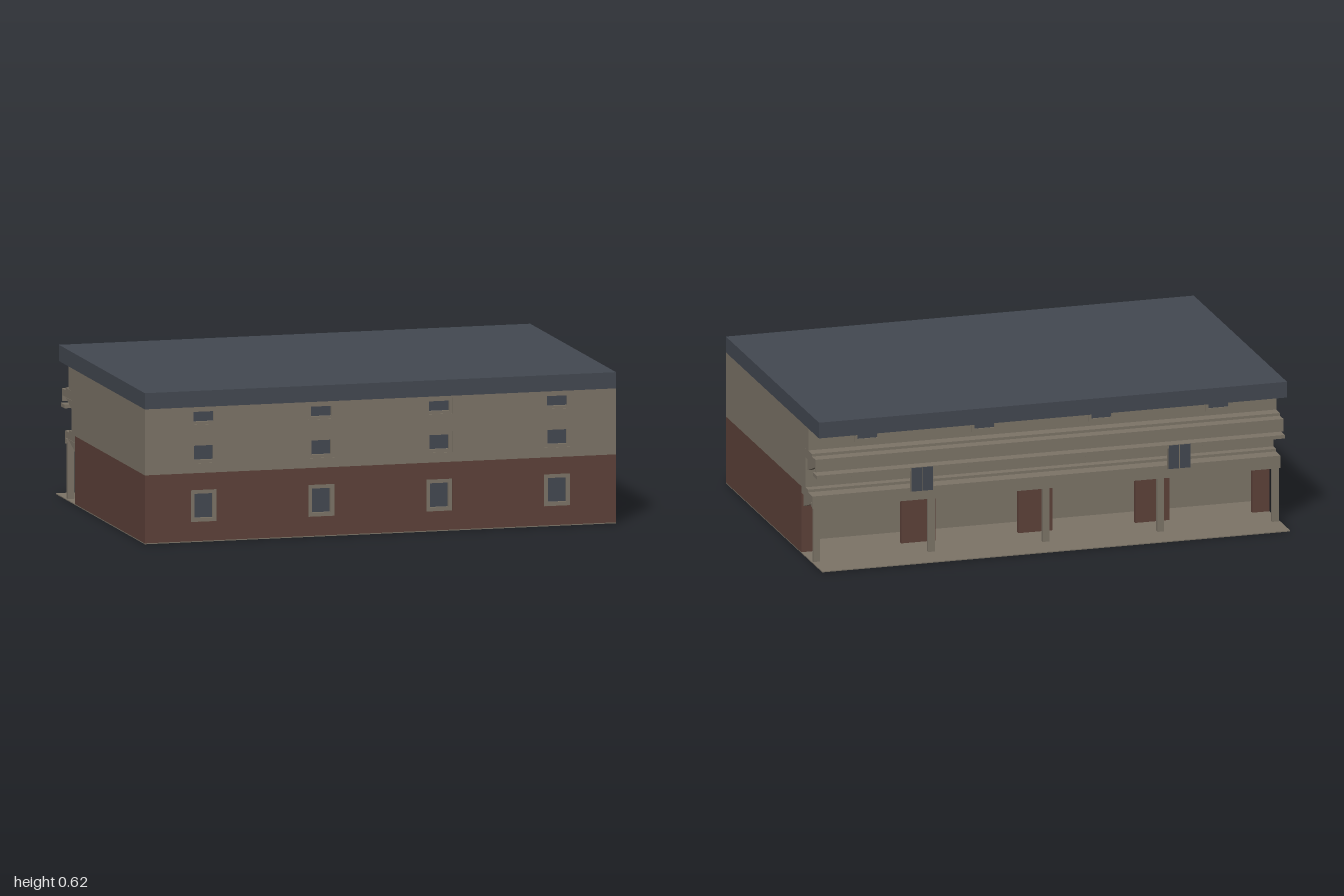
import * as THREE from 'three';

const mat = (name, color) => {
  const m = new THREE.MeshStandardMaterial({ color });
  m.name = name;
  return m;
};

export function createModel() {
  const root = new THREE.Group();
  root.name = 'building';
  const tan = mat('tan plaster', 0x7c7467);
  const red = mat('red brick', 0x5d4139);
  const slate = mat('slate blue', 0x434851);

  // Box given by its limits on each axis
  const box = (name, m, x0, x1, y0, y1, z0, z1, parent = root) => {
    const mesh = new THREE.Mesh(new THREE.BoxGeometry(x1 - x0, y1 - y0, z1 - z0), m);
    mesh.position.set((x0 + x1) / 2, (y0 + y1) / 2, (z0 + z1) / 2);
    mesh.name = name;
    parent.add(mesh);
    return mesh;
  };
  const rect = (Type, x0, x1, y0, y1) => new Type([
    new THREE.Vector2(x0, y0), new THREE.Vector2(x1, y0),
    new THREE.Vector2(x1, y1), new THREE.Vector2(x0, y1)]);
  // Flat panel with rectangular openings, back face at z
  const pierced = (name, m, outer, holes, depth, z) => {
    const shape = rect(THREE.Shape, ...outer);
    shape.holes = holes.map(h => rect(THREE.Path, ...h));
    const mesh = new THREE.Mesh(new THREE.ExtrudeGeometry(shape, { depth, bevelEnabled: false }), m);
    mesh.position.z = z;
    mesh.name = name;
    root.add(mesh);
  };

  const columns = [-0.75, -0.25, 0.25, 0.75];
  const bays = [-1, -0.5, 0, 0.5, 1];

  // Base slab and roof
  box('groundSlab', tan, -1, 1, 0, 0.004, -0.67, 0.67);
  box('roof', slate, -1, 1, 0.558, 0.625, -0.625, 0.67);

  // Storeys, the lowest one set back behind a porch
  box('lowerStorey', red, -1, 1, 0.004, 0.285, -0.215, 0.65);
  box('porchWall', tan, -0.98, 0.98, 0.004, 0.285, -0.22, -0.215);
  box('middleStorey', tan, -1, 1, 0.285, 0.465, -0.435, 0.65);
  box('topStorey', tan, -1, 1, 0.465, 0.558, -0.477, 0.65);
  for (const s of [-1, 1]) {
    box('porchSideWall', red, s * 0.99 - 0.01, s * 0.99 + 0.01, 0.004, 0.285, -0.38, -0.215);
  }
  for (const x of bays) {
    box('porchPier', red, Math.max(x - 0.073, -1), Math.min(x + 0.073, 1), 0.004, 0.285, -0.38, -0.36);
  }

  // Front wall skin with recessed windows
  const rows = [
    { y0: 0.083, y1: 0.215, inset: 0.016 },
    { y0: 0.325, y1: 0.412, inset: 0.014 },
    { y0: 0.485, y1: 0.55, inset: 0.012 }];
  const opening = (x, r, d = 0) => [x - 0.055 + d, x + 0.055 - d, r.y0 + d, r.y1 - d];
  pierced('frontBrickWall', red, [-1, 1, 0.004, 0.285],
    columns.map(x => opening(x, rows[0])), 0.02, 0.65);
  pierced('frontPlasterWall', tan, [-1, 1, 0.285, 0.558],
    rows.slice(1).flatMap(r => columns.map(x => opening(x, r))), 0.02, 0.65);
  for (const r of rows) for (const x of columns) {
    pierced('windowFrame', tan, opening(x, r), [opening(x, r, r.inset)], 0.017, 0.65);
    box('windowPane', slate, ...opening(x, r, r.inset), 0.65, 0.654);
  }

  // Rear windows of the two upper storeys
  rows.slice(1).forEach((r, i) => {
    const z = i ? -0.477 : -0.435;
    for (const x of columns) {
      pierced('rearWindowFrame', tan, opening(x, r), [opening(x, r, r.inset)], 0.008, z - 0.008);
      box('rearWindowPane', slate, ...opening(x, r, r.inset), z - 0.003, z);
    }
  });

  // Balcony: slab, step, hanging edge beam and triangular brackets
  const balcony = (y, wall, edge) => {
    const g = new THREE.Group();
    g.name = 'balcony';
    root.add(g);
    box('balconySlab', tan, -1, 1, y - 0.028, y, edge, wall, g);
    box('balconyStep', tan, -1, 1, y, y + 0.011, wall - 0.092, wall, g);
    box('balconyEdgeBeam', tan, -1, 1, y - 0.053, y - 0.028, edge, edge + 0.008, g);
    const tri = new THREE.Shape([
      new THREE.Vector2(-wall, y - 0.085),
      new THREE.Vector2(-edge - 0.015, y - 0.035),
      new THREE.Vector2(-wall, y - 0.035)]);
    const geo = new THREE.ExtrudeGeometry(tri, { depth: 0.02, bevelEnabled: false });
    geo.rotateY(Math.PI / 2);
    for (const x of bays) {
      const bracket = new THREE.Mesh(geo, tan);
      bracket.position.x = x * 0.98 - 0.01;
      bracket.name = 'balconyBracket';
      g.add(bracket);
    }
  };
  balcony(0.285, -0.38, -0.535);
  balcony(0.453, -0.435, -0.577);

  // Porch posts and their top beam
  for (const x of bays) {
    box('porchPost', tan, x * 0.98 - 0.014, x * 0.98 + 0.014, 0.004, 0.25, -0.53, -0.512);
  }
  box('porchBeam', tan, -1, 1, 0.238, 0.253, -0.53, -0.512);

  // Balcony handrail with two glazed panels below it
  box('handrail', tan, -1, 1, 0.375, 0.39, -0.595, -0.54);
  for (const x of [-0.55, 0.55]) {
    box('panelFrame', tan, x - 0.048, x + 0.048, 0.285, 0.388, -0.594, -0.58);
    for (const s of [-1, 1]) {
      const c = x + s * 0.024;
      box('panelGlassOuter', slate, c - 0.022, c + 0.022, 0.288, 0.388, -0.597, -0.594);
      box('panelGlassInner', slate, c - 0.022, c + 0.022, 0.288, 0.375, -0.58, -0.577);
    }
  }
  return root;
}
